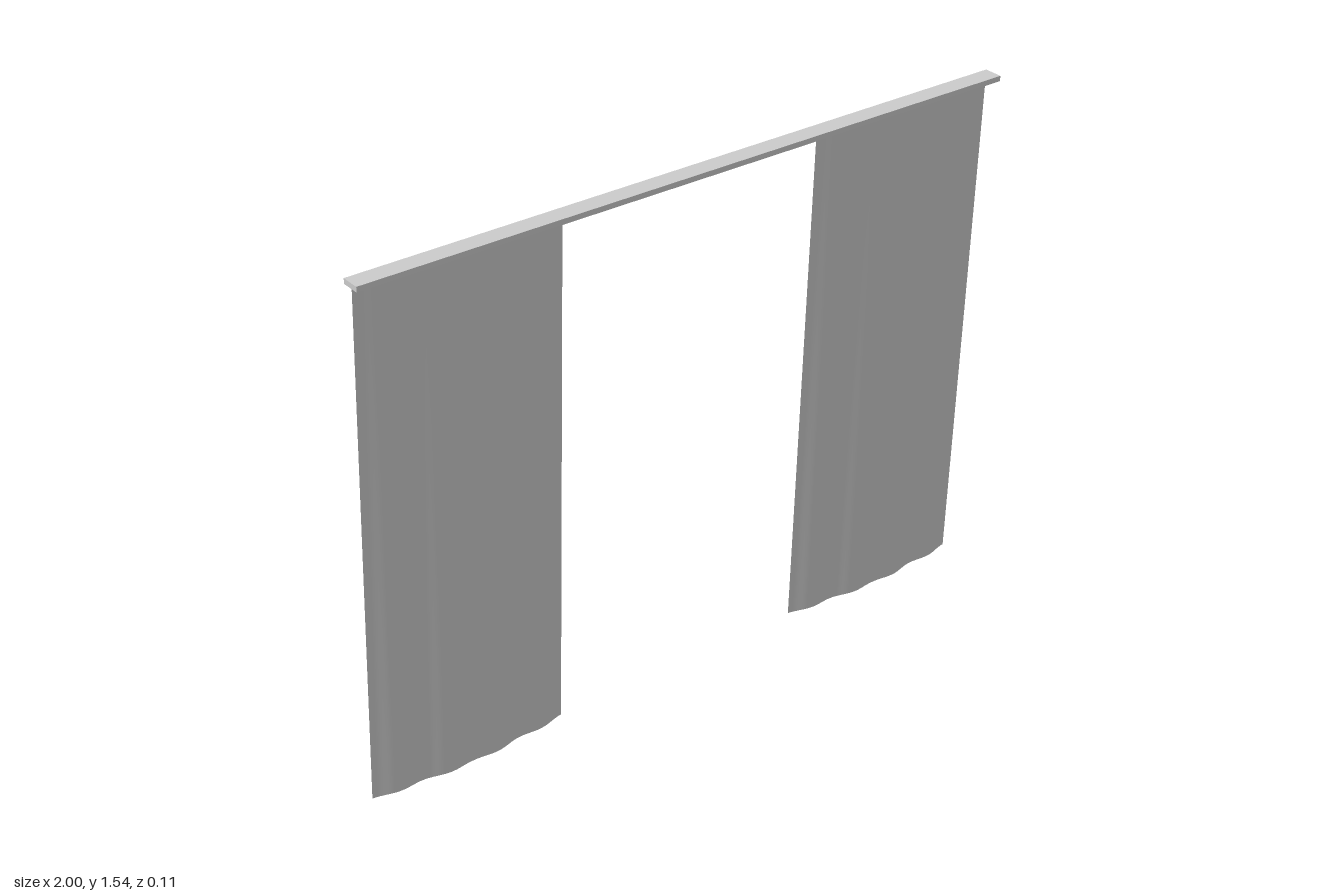
import * as THREE from 'three';

const RAIL_BOTTOM = 1.525;

// Depth of the cloth across its width (s from -1 to 1): shallow bow plus four folds
function foldDepth(s) {
  return 0.025 * (1 - Math.pow(Math.abs(s), 1.3)) - 0.005 * Math.cos(s * Math.PI * 4);
}

// One hanging panel, leaning forward towards the rail
function makePanel(name, xLeft, xRight, material) {
  const geometry = new THREE.PlaneGeometry(2, 1, 96, 12);
  const pos = geometry.attributes.position;
  for (let i = 0; i < pos.count; i++) {
    const s = pos.getX(i);
    const t = pos.getY(i) + 0.5;
    const u = (s + 1) / 2;
    // The outer sides draw in a little towards the top
    const left = xLeft + (xLeft < 0 ? 0.008 * t : 0);
    const right = xRight - (xRight > 0 ? 0.008 * t : 0);
    const x = THREE.MathUtils.lerp(left, right, u);
    const z = -0.05 + 0.07 * t + foldDepth(s) * (1 - 0.22 * t);
    pos.setXYZ(i, x, t * RAIL_BOTTOM, z);
  }
  geometry.computeVertexNormals();
  const mesh = new THREE.Mesh(geometry, material);
  mesh.name = name;
  return mesh;
}

export function createModel() {
  const group = new THREE.Group();
  group.name = 'curtains';

  // Flat ceiling rail
  const rail = new THREE.Mesh(
    new THREE.BoxGeometry(2, 0.015, 0.055),
    new THREE.MeshStandardMaterial({ color: 0xcccccc })
  );
  rail.position.set(0, RAIL_BOTTOM + 0.0075, 0.0275);
  rail.name = 'curtainRail';
  group.add(rail);

  // Two matching cloth panels
  const cloth = new THREE.MeshStandardMaterial({ color: 0xcccccc, side: THREE.DoubleSide });
  group.add(makePanel('rightCurtain', -0.998, -0.4, cloth));
  group.add(makePanel('leftCurtain', 0.395, 0.992, cloth));

  return group;
}
